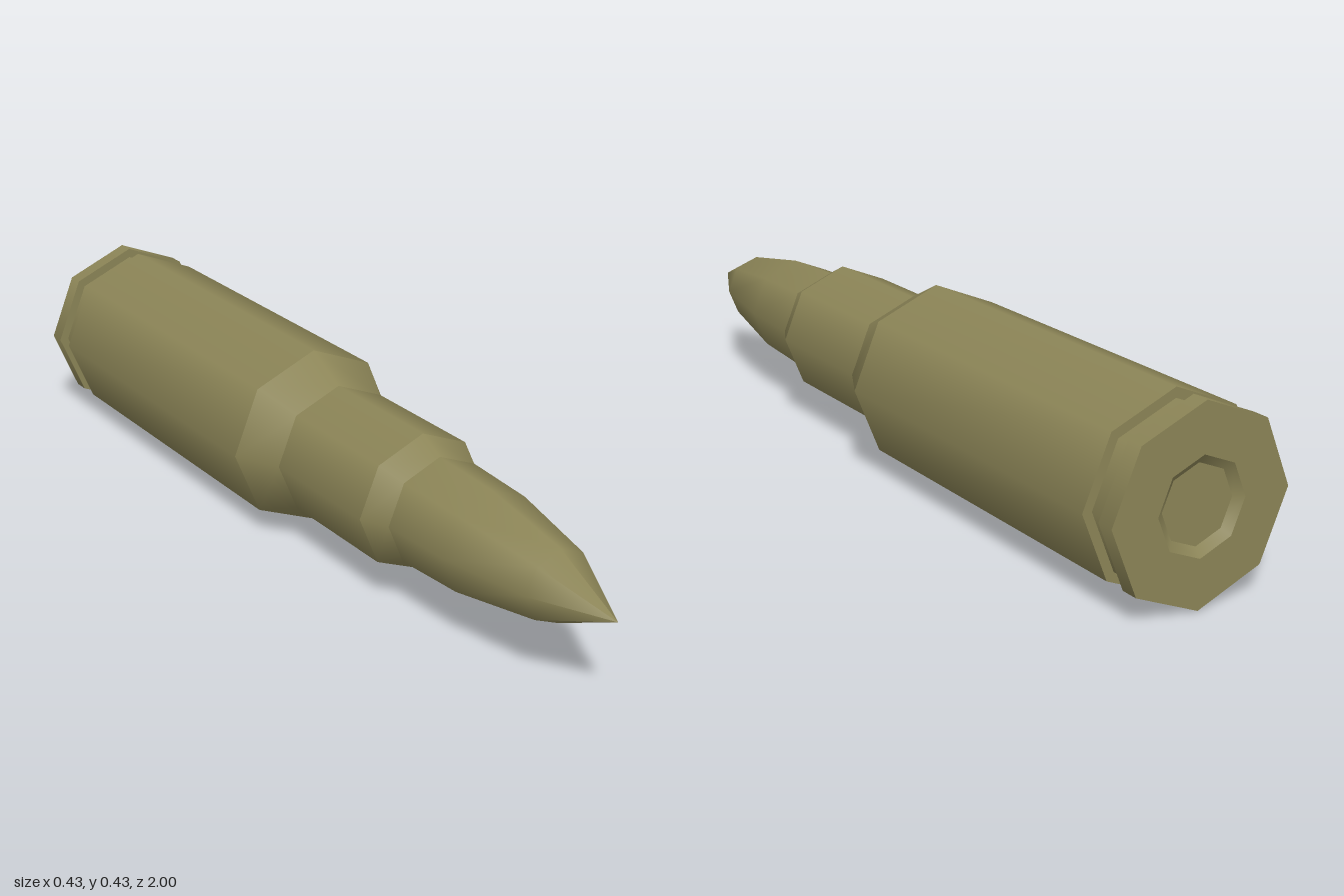
import * as THREE from 'three';

const SIDES = 8;
const RADIUS = 0.2125;

export function createModel() {
  const model = new THREE.Group();
  model.name = 'cartridge';
  const brass = new THREE.MeshStandardMaterial({ color: 0x8c8557 });
  brass.name = 'olive brass';

  // Eight-sided turned section along z; points are [radius, z] from back to front
  const addSection = (name, points) => {
    const profile = points.map(([r, z]) => new THREE.Vector2(r, z));
    const geometry = new THREE.LatheGeometry(profile, SIDES);
    geometry.rotateX(Math.PI / 2);
    geometry.translate(0, RADIUS, 0);
    const mesh = new THREE.Mesh(geometry, brass);
    mesh.name = name;
    model.add(mesh);
  };

  // Base with the recessed primer
  addSection('primer', [[0, -0.985], [0.085, -0.985]]);
  addSection('primerRecess', [[0.085, -0.985], [0.105, -1]]);
  addSection('baseFace', [[0.105, -1], [RADIUS, -1]]);

  // Rim and extraction groove
  addSection('rim', [[RADIUS, -1], [RADIUS, -0.96]]);
  addSection('rimFront', [[RADIUS, -0.96], [0.19, -0.96]]);
  addSection('groove', [[0.19, -0.96], [0.19, -0.91]]);
  addSection('caseBack', [[0.19, -0.91], [RADIUS, -0.91]]);

  // Case, stepping down to the neck
  addSection('caseBody', [[RADIUS, -0.91], [RADIUS, -0.063]]);
  addSection('shoulder', [[RADIUS, -0.063], [0.16, 0.04]]);
  addSection('neck', [[0.16, 0.04], [0.16, 0.363]]);
  addSection('neckMouth', [[0.16, 0.363], [0.129, 0.425]]);

  // Pointed bullet, smooth along its length
  addSection('bullet', [[0.129, 0.425], [0.121, 0.605], [0.082, 0.825], [0, 1]]);

  return model;
}
